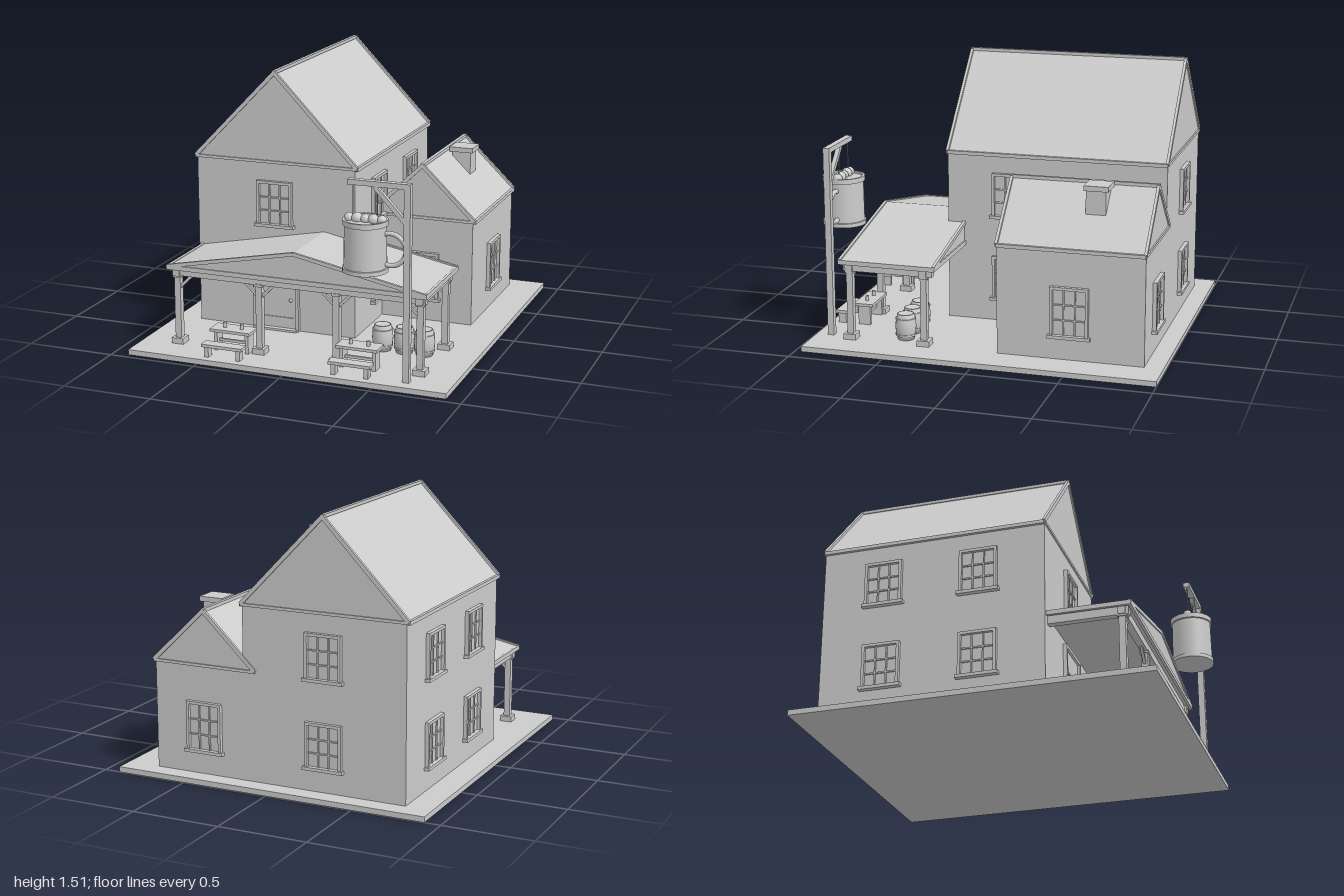
import * as THREE from 'three';

export function createModel() {
  const root = new THREE.Group();
  root.name = 'tavern';
  const grey = new THREE.MeshStandardMaterial({ color: 0xcccccc });
  grey.name = 'plain grey';

  const add = (parent, name, geo, x = 0, y = 0, z = 0) => {
    const m = new THREE.Mesh(geo, grey);
    m.name = name;
    m.position.set(x, y, z);
    parent.add(m);
    return m;
  };
  const group = (name, x = 0, y = 0, z = 0, ry = 0) => {
    const g = new THREE.Group();
    g.name = name;
    g.position.set(x, y, z);
    g.rotation.y = ry;
    root.add(g);
    return g;
  };
  // Box given by its min and max on each axis
  const box = (p, name, x0, x1, y0, y1, z0, z1) =>
    add(p, name, new THREE.BoxGeometry(x1 - x0, y1 - y0, z1 - z0), (x0 + x1) / 2, (y0 + y1) / 2, (z0 + z1) / 2);
  // Square bar between two points in an xy plane
  const bar = (p, name, x0, y0, x1, y1, z, t, d = t) => {
    const m = add(p, name, new THREE.BoxGeometry(Math.hypot(x1 - x0, y1 - y0), t, d), (x0 + x1) / 2, (y0 + y1) / 2, z);
    m.rotation.z = Math.atan2(y1 - y0, x1 - x0);
    return m;
  };
  // Outline in xy extruded from z0 to z1
  const prism = (p, name, pts, z0, z1) =>
    add(p, name, new THREE.ExtrudeGeometry(new THREE.Shape(pts.map(a => new THREE.Vector2(...a))),
      { depth: z1 - z0, bevelEnabled: false }), 0, 0, z0);

  box(root, 'groundSlab', -0.91, 0.91, 0, 0.03, -1, 0.965);

  // Gabled block: walls, roof prism and trim on rakes, eaves and ridge
  function house(name, cx, half, eave, ridge, z0, z1) {
    const g = group(name, cx);
    const o = half + 0.01, t = 0.016;
    box(g, 'walls', -half, half, 0.03, eave, z0, z1);
    prism(g, 'roof', [[-o, eave], [o, eave], [0, ridge - 0.014]], z0, z1);
    for (const z of [z0, z1]) {
      for (const s of [-1, 1]) bar(g, 'rakeTrim', s * o, eave + 0.004, 0, ridge - 0.012, z, t + 0.006, t);
      box(g, 'gableTie', -o, o, eave - 0.006, eave + 0.01, z - 0.008, z + 0.008);
    }
    for (const s of [-1, 1]) box(g, 'eaveTrim', s * o - 0.008, s * o + 0.008, eave - 0.01, eave + 0.01, z0, z1);
    box(g, 'ridgeTrim', -0.01, 0.01, ridge - 0.018, ridge, z0 - 0.008, z1 + 0.008);
  }
  house('mainHouse', -0.29, 0.472, 0.995, 1.51, -0.897, 0.353);
  house('sideWing', 0.42, 0.3, 0.635, 0.95, -0.897, -0.09);

  // Chimney
  box(root, 'chimney', 0.455, 0.565, 0.7, 0.93, -0.645, -0.535);
  box(root, 'chimneyCap', 0.44, 0.58, 0.925, 0.953, -0.66, -0.525);

  // Framed windows with nine panes, facing outward by the angle ry
  function windowAt(x, y0, z, ry, h) {
    const g = group('window', x, y0, z, ry);
    const w = 0.105, b = 0.016;
    box(g, 'glass', -w, w, 0.015, h, -0.01, 0.004);
    box(g, 'sill', -0.117, 0.117, 0, 0.018, -0.01, 0.03);
    box(g, 'lintel', -w, w, h - b, h, -0.01, 0.022);
    for (const s of [-1, 1]) {
      box(g, 'jamb', s * (w - b / 2) - b / 2, s * (w - b / 2) + b / 2, 0.018, h - b, -0.01, 0.022);
      box(g, 'upright', s * 0.031 - 0.004, s * 0.031 + 0.004, 0.018, h - b, 0, 0.012);
      const y = h / 2 + s * (h - 0.034) / 6;
      box(g, 'crossbar', -w + b, w - b, y - 0.004, y + 0.004, 0, 0.012);
    }
  }
  const Q = Math.PI / 2;
  windowAt(-0.292, 0.627, 0.353, 0, 0.263);
  for (const y of [0.15, 0.63]) {
    for (const z of [-0.548, -0.012]) windowAt(-0.762, y, z, -Q, 0.26);
    windowAt(-0.295, y, -0.897, Math.PI, 0.26);
    windowAt(0.182, y, -0.012, Q, 0.26);
  }
  windowAt(0.182, 0.63, -0.548, Q, 0.26);
  windowAt(0.42, 0.15, -0.897, Math.PI, 0.285);
  windowAt(0.42, 0.15, -0.09, 0, 0.285);
  windowAt(0.72, 0.15, -0.49, Q, 0.285);

  // Front door
  const door = group('door', -0.287, 0.03, 0.353);
  box(door, 'leaf', -0.12, 0.12, 0, 0.39, -0.01, 0.008);
  for (const s of [-1, 1]) box(door, 'doorPost', s * 0.129 - 0.009, s * 0.129 + 0.009, 0, 0.4, -0.01, 0.022);
  box(door, 'doorLintel', -0.138, 0.138, 0.385, 0.405, -0.01, 0.022);
  for (const y of [0.07, 0.26]) box(door, 'strap', -0.11, 0.11, y - 0.005, y + 0.005, 0, 0.014);
  box(door, 'step', -0.13, 0.13, 0, 0.012, 0, 0.04);
  add(door, 'knob', new THREE.SphereGeometry(0.01, 10, 8), 0.09, 0.18, 0.015);

  // Porch roof with fascia and beams
  const porch = group('porch');
  prism(porch, 'porchRoof', [[-0.74, 0.465], [0.74, 0.465], [0.74, 0.48], [0, 0.628], [-0.74, 0.48]], 0.26, 0.798);
  for (const z of [0.26, 0.797]) {
    for (const s of [-1, 1]) bar(porch, 'porchRake', s * 0.742, 0.478, 0, 0.625, z, 0.02, 0.016);
    box(porch, 'porchTie', -0.745, 0.745, 0.46, 0.485, z - 0.008, z + 0.008);
  }
  for (const s of [-1, 1]) {
    box(porch, 'porchEave', s * 0.738 - 0.008, s * 0.738 + 0.008, 0.46, 0.485, 0.255, 0.805);
    box(porch, 'sideBeam', s * 0.7 - 0.02, s * 0.7 + 0.02, 0.42, 0.465, 0.275, 0.785);
  }
  box(porch, 'frontBeam', -0.73, 0.73, 0.42, 0.465, 0.73, 0.77);
  box(porch, 'backBeam', 0.18, 0.73, 0.42, 0.465, 0.305, 0.345);

  // Porch posts, each with the directions its braces lean
  const posts = [[-0.7, 0.75, [1]], [-0.215, 0.75, [-1, 1]], [0.23, 0.75, [-1, 1]], [0.7, 0.75, [-1]], [0.7, 0.325, [-1]]];
  for (const [x, z, leans] of posts) {
    const p = group('porchPost', x, 0, z);
    box(p, 'post', -0.018, 0.018, 0.03, 0.43, -0.018, 0.018);
    box(p, 'foot', -0.035, 0.035, 0.03, 0.062, -0.035, 0.035);
    box(p, 'cap', -0.025, 0.025, 0.41, 0.425, -0.025, 0.025);
    for (const s of leans) bar(p, 'brace', s * 0.01, 0.35, s * 0.085, 0.425, 0, 0.016);
  }

  // Tables with a bench in front and two mugs on top
  for (const x of [-0.368, 0.364]) {
    const t = group('tableSet', x);
    box(t, 'tableTop', -0.118, 0.118, 0.14, 0.156, 0.71, 0.82);
    box(t, 'benchSeat', -0.118, 0.118, 0.088, 0.105, 0.865, 0.93);
    for (const s of [-1, 1]) {
      const a = s * 0.092;
      box(t, 'tableLeg', a - 0.01, a + 0.01, 0.03, 0.14, 0.73, 0.80);
      box(t, 'benchLeg', a - 0.012, a + 0.012, 0.03, 0.09, 0.875, 0.92);
      add(t, 'mug', new THREE.CylinderGeometry(0.01, 0.01, 0.028, 12), s * 0.05, 0.17, 0.765);
    }
    box(t, 'stretcher', -0.09, 0.09, 0.075, 0.09, 0.758, 0.772);
  }

  // Barrels standing under the porch
  const stave = [[0, 0], [0.046, 0], [0.055, 0.04], [0.058, 0.072], [0.055, 0.105], [0.046, 0.145], [0.04, 0.145], [0.04, 0.138], [0, 0.138]]
    .map(a => new THREE.Vector2(...a));
  for (const x of [0.385, 0.51, 0.625]) {
    const b = group('barrel', x, 0.03, 0.46);
    add(b, 'staves', new THREE.LatheGeometry(stave, 20));
    for (const y of [0.028, 0.117])
      add(b, 'hoop', new THREE.CylinderGeometry(0.057, 0.057, 0.01, 20, 1), 0, y, 0);
  }

  // Gallows post carrying the hanging tankard
  const sign = group('hangingSign', 0, 0, 0.88);
  box(sign, 'signPost', 0.65, 0.685, 0.03, 1.09, -0.018, 0.018);
  box(sign, 'signArm', 0.345, 0.685, 1.062, 1.09, -0.018, 0.018);
  bar(sign, 'signBrace', 0.49, 1.06, 0.66, 0.88, 0, 0.024);
  for (const x of [0.37, 0.503]) add(sign, 'rope', new THREE.CylinderGeometry(0.003, 0.003, 0.2, 6), x, 0.97, 0);
  const cup = [[0, 0], [0.12, 0], [0.12, 0.022], [0.113, 0.024], [0.11, 0.245], [0.118, 0.247], [0.118, 0.275], [0.105, 0.275], [0.105, 0.262], [0, 0.262]];
  // Each straight run gets its own lathe so the rims stay sharp
  for (let i = 0; i < cup.length - 1; i++)
    add(sign, 'tankard', new THREE.LatheGeometry([new THREE.Vector2(...cup[i]), new THREE.Vector2(...cup[i + 1])], 32), 0.438, 0.61, 0);
  const handle = add(sign, 'tankardHandle', new THREE.TorusGeometry(0.085, 0.013, 10, 28, Math.PI * 1.25), 0.573, 0.735, 0);
  handle.rotation.z = -Math.PI * 0.625;
  for (let i = 0; i < 5; i++)
    add(sign, 'foam', new THREE.SphereGeometry(i % 2 ? 0.031 : 0.027, 14, 10), 0.348 + i * 0.045, 0.884, 0);

  return root;
}
